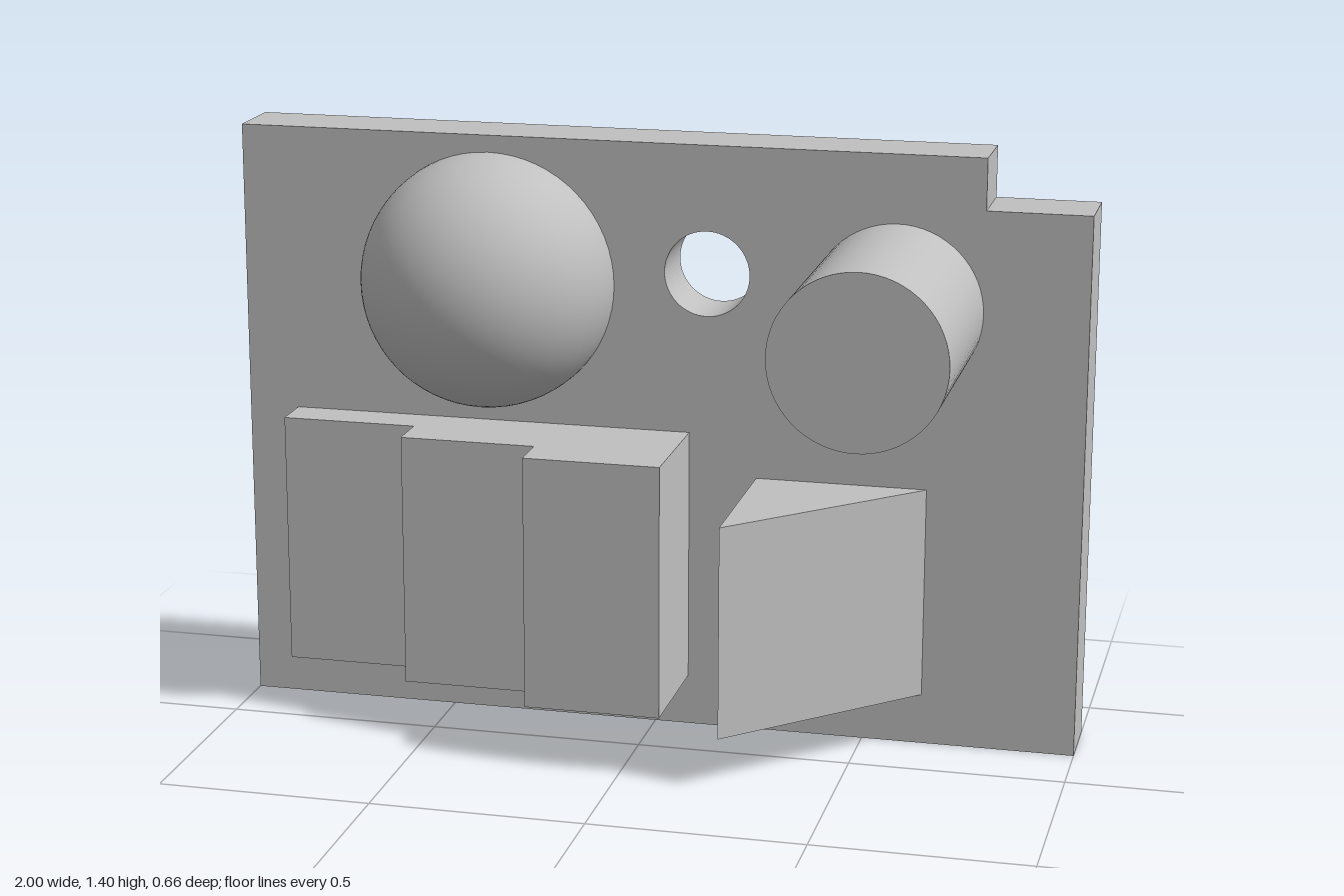
import * as THREE from 'three';

const FACE = -0.17; // front surface of the plate

const outline = (points) => new THREE.Shape(points.map(([x, y]) => new THREE.Vector2(x, y)));

// Extrudes a floor plan of [x, z] points upward from y0 to y1
function prism(plan, y0, y1) {
  const shape = outline(plan.map(([x, z]) => [x, -z]));
  const geometry = new THREE.ExtrudeGeometry(shape, { depth: y1 - y0, bevelEnabled: false });
  return geometry.rotateX(-Math.PI / 2).translate(0, y0, 0);
}

export function createModel() {
  const model = new THREE.Group();
  model.name = 'shapePanel';
  const grey = new THREE.MeshStandardMaterial({ color: 0xc0c0c0 });
  grey.name = 'lightGrey';

  const add = (name, geometry) => {
    const mesh = new THREE.Mesh(geometry, grey);
    mesh.name = name;
    model.add(mesh);
  };

  // Back plate with a notched corner and a round through hole
  const plate = outline([[-1, 0], [1, 0], [1, 1.28], [0.76, 1.28], [0.76, 1.4], [-1, 1.4]]);
  plate.holes.push(new THREE.Path().absarc(0.12, 1.1, 0.1, 0, Math.PI * 2, true));
  add('plate', new THREE.ExtrudeGeometry(plate, { depth: 0.16, bevelEnabled: false, curveSegments: 32 })
    .translate(0, 0, FACE - 0.16));

  // Half sphere bulging from the plate
  add('dome', new THREE.SphereGeometry(0.3, 64, 24, 0, Math.PI * 2, 0, Math.PI / 2)
    .rotateX(Math.PI / 2).translate(-0.4, 1.06, FACE));

  // Round peg
  add('peg', new THREE.CylinderGeometry(0.2, 0.2, 0.5, 64)
    .rotateX(Math.PI / 2).translate(0.56, 1.04, FACE + 0.25));

  // Three steps, each standing further out than the last
  const steps = [[0.08, FACE], [-0.88, FACE]];
  for (let i = 0; i < 3; i++) {
    const x = -0.88 + i * 0.32;
    const z = FACE + 0.1 * (i + 1);
    steps.push([x, z], [x + 0.32, z]);
  }
  add('steps', prism(steps, 0.12, 0.72));

  // Triangular wedge
  add('wedge', prism([[0.24, FACE], [0.24, 0.23], [0.64, FACE]], 0.12, 0.62));

  return model;
}
